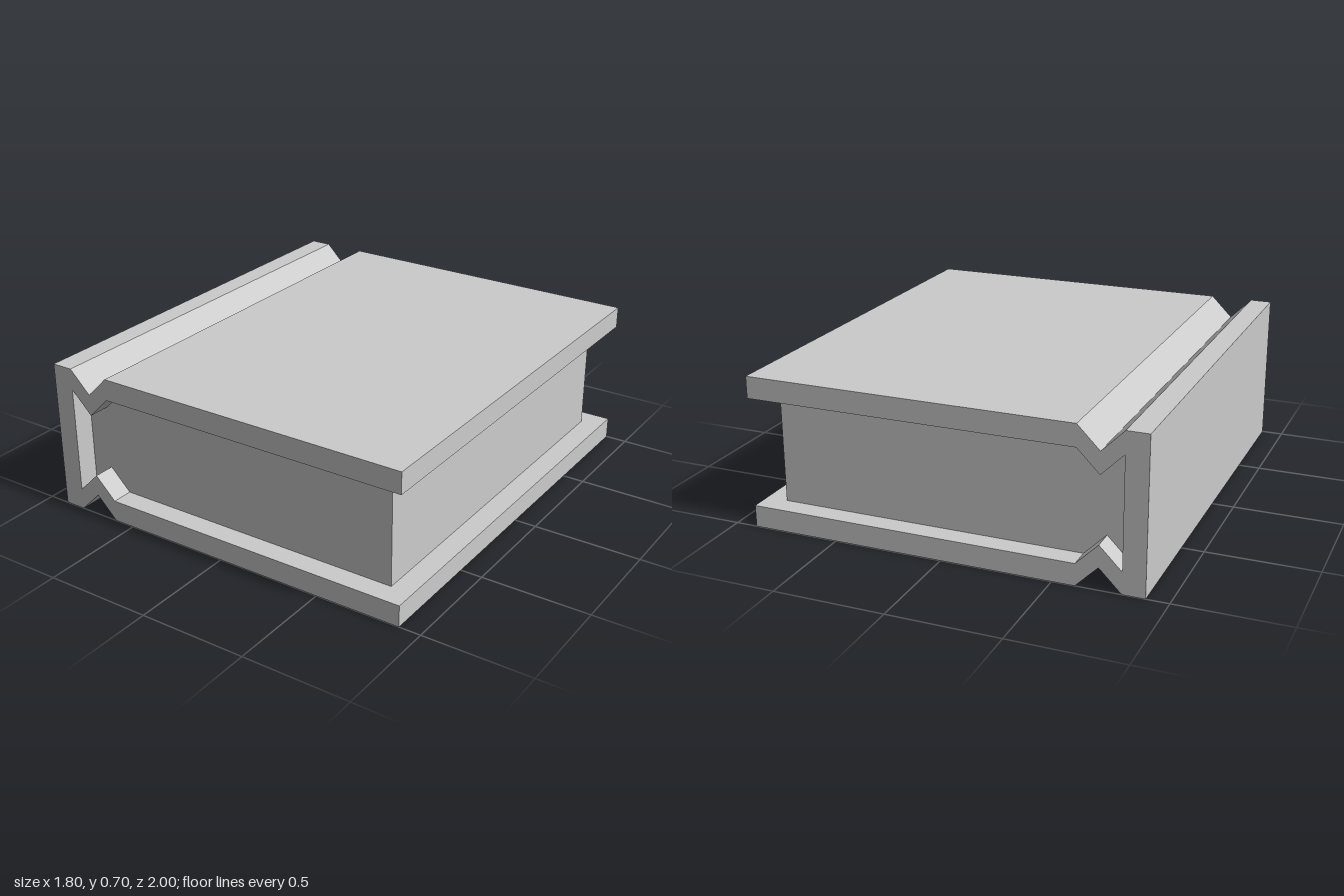
import * as THREE from 'three';

// Extrude an x/y outline along z, centred on z = 0
function slab(name, points, depth, material) {
  const shape = new THREE.Shape(points.map(([x, y]) => new THREE.Vector2(x, y)));
  const geometry = new THREE.ExtrudeGeometry(shape, { depth, bevelEnabled: false });
  geometry.translate(0, 0, -depth / 2);
  const mesh = new THREE.Mesh(geometry, material);
  mesh.name = name;
  return mesh;
}

export function createModel() {
  const group = new THREE.Group();
  group.name = 'book';
  const material = new THREE.MeshStandardMaterial({ color: 0xcccccc, flatShading: true });

  const height = 0.7;
  const mirror = (points) => points.map(([x, y]) => [x, height - y]).reverse();

  // Lower half of each outline, with the hinge groove beside the spine
  const outer = [[-0.9, 0], [-0.8, 0], [-0.7, 0.1], [-0.6, 0], [0.9, 0]];
  const inner = (endX) => [[endX, 0.1], [-0.6, 0.1], [-0.7, 0.2], [-0.8, 0.1]];

  // Cover: bottom board, spine and top board in one wrapped strip
  const lower = inner(0.9);
  group.add(slab('cover', [...outer, ...lower, ...mirror(lower), ...mirror(outer)], 2, material));

  // Page block: fills the cover up to the spine, inset on the three open sides
  const pageEdge = inner(0.8).reverse();
  group.add(slab('pages', [...pageEdge, ...mirror(pageEdge)], 1.8, material));

  return group;
}
